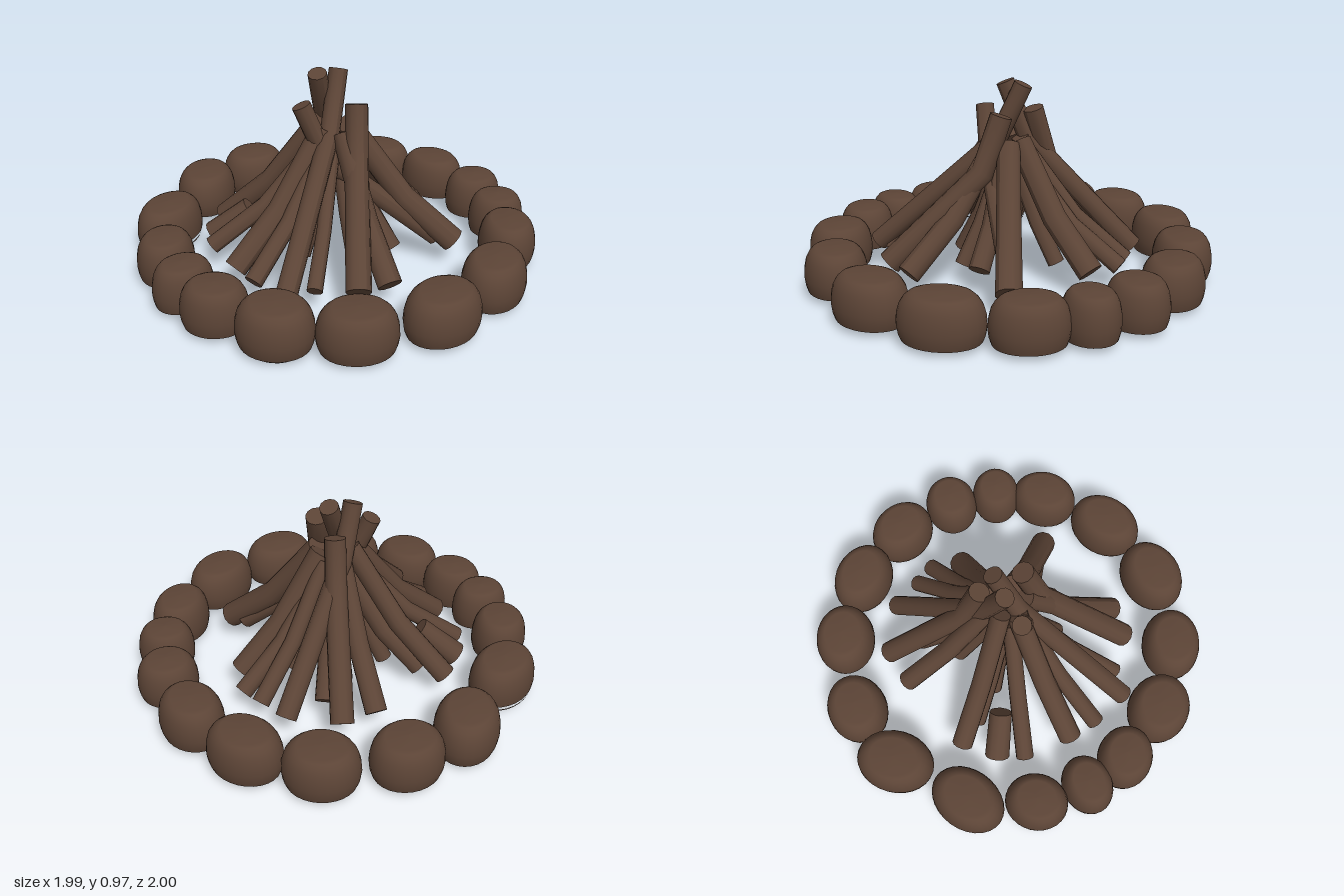
import * as THREE from 'three';

// Stones: angle round the ring in degrees, radius along the ring, radius across it, extra turn
const STONES = [
  [-89, 0.175, 0.15, 0], [-63, 0.178, 0.15, 0], [-39, 0.185, 0.145, 0], [-16, 0.175, 0.145, 0],
  [5, 0.138, 0.148, 0], [22, 0.128, 0.14, 0], [40, 0.175, 0.14, 0], [65, 0.195, 0.148, 0.1],
  [91, 0.192, 0.152, 0.1], [118, 0.182, 0.148, 0], [142, 0.178, 0.155, 0], [163, 0.157, 0.138, 0.5],
  [179, 0.123, 0.147, 0], [197, 0.157, 0.137, -0.4], [220, 0.195, 0.145, -0.37],
  [248, 0.195, 0.152, 0.47],
];
const RAISED_STONE = 14;
const LIPPED_STONE = 10;

// Tall sticks with upright tips: foot x, foot z, top x, top y, top z, radius
const TALL_STICKS = [
  [0.21, -0.58, 0.05, 0.83, -0.12, 0.053],
  [0.43, -0.44, -0.07, 0.955, -0.05, 0.048],
  [0.36, 0.35, -0.18, 0.83, -0.02, 0.048],
  [-0.25, 0.55, 0.05, 0.825, 0.1, 0.057],
  [-0.53, 0.39, 0.05, 0.955, -0.05, 0.048],
];

// Leaning sticks: foot x, foot z, top y, radius
const LEANING_STICKS = [
  [0.03, -0.56, 0.7, 0.05], [0.21, -0.4, 0.6, 0.055], [0.5, -0.29, 0.66, 0.04],
  [0.55, -0.185, 0.6, 0.042], [0.5, -0.03, 0.69, 0.06], [0.41, 0.42, 0.68, 0.06],
  [0.11, 0.31, 0.6, 0.05], [-0.09, 0.57, 0.68, 0.055], [-0.4, 0.42, 0.6, 0.035],
  [-0.59, 0.2, 0.64, 0.042], [-0.6, 0.05, 0.7, 0.054], [-0.59, -0.2, 0.62, 0.042],
  [-0.39, -0.45, 0.72, 0.05], [-0.31, -0.34, 0.58, 0.052],
];

const vec = (x, y, z) => new THREE.Vector3(x, y, z);

// Capped round stick through three points, with a kink at the middle one
function stickGeometry(foot, bend, top, r) {
  const lower = bend.clone().sub(foot).normalize();
  const upper = top.clone().sub(bend).normalize();
  const middle = lower.clone().add(upper).normalize();
  const rings = [[foot, lower], [bend, middle], [top, upper]].map(([centre, direction]) => ({
    centre, turn: new THREE.Quaternion().setFromUnitVectors(vec(0, 1, 0), direction),
  }));
  const geo = new THREE.CylinderGeometry(r * 0.95, r * 1.05, 1, 12, 2);
  const pos = geo.attributes.position;
  const v = vec(0, 0, 0);
  for (let i = 0; i < pos.count; i++) {
    v.fromBufferAttribute(pos, i);
    const { centre, turn } = rings[Math.round((v.y + 0.5) * 2)];
    v.y = 0;
    v.applyQuaternion(turn).add(centre);
    pos.setXYZ(i, v.x, v.y, v.z);
  }
  geo.computeVertexNormals();
  return geo;
}

// Hollow rounded dome, open underneath
function stoneGeometry(raised) {
  const side = [[0.97, 0.06], [1, 0.1], [0.98, 0.145], [0.92, 0.185], [0.83, 0.212],
    [0.72, 0.23], [0.6, 0.238], [0, 0.243]];
  const profile = raised ? side : [[0.91, 0.03], ...side];
  return new THREE.LatheGeometry(profile.map(([x, y]) => new THREE.Vector2(x, y)), 28);
}

export function createModel() {
  const model = new THREE.Group();
  model.name = 'campfire';
  const brown = new THREE.MeshStandardMaterial({ color: 0x5c4436, side: THREE.DoubleSide });
  brown.name = 'brown';

  const addMesh = (parent, geo, name) => {
    const mesh = new THREE.Mesh(geo, brown);
    mesh.name = name;
    parent.add(mesh);
  };

  // Ring of stones, each turned to follow the circle
  const ring = new THREE.Group();
  ring.name = 'stoneRing';
  model.add(ring);
  STONES.forEach(([degrees, along, across, extraTurn], i) => {
    const angle = THREE.MathUtils.degToRad(degrees);
    const stone = new THREE.Group();
    stone.name = 'stone' + (i + 1);
    stone.position.set(0.85 * Math.cos(angle), 0, 0.85 * Math.sin(angle));
    stone.scale.set(along, 1, across);
    stone.rotation.y = Math.PI / 2 - angle + extraTurn;
    ring.add(stone);
    addMesh(stone, stoneGeometry(i === RAISED_STONE), 'dome');

    // Loose thin rim left under the raised stone
    if (i === RAISED_STONE) {
      addMesh(stone, new THREE.CylinderGeometry(0.92, 0.91, 0.008, 28, 1, true)
        .translate(0, 0.034, 0), 'rim');
    }
    // Sunken lip under one stone
    if (i === LIPPED_STONE) {
      addMesh(stone, new THREE.CylinderGeometry(0.91, 0.7, 0.028, 28, 1, true)
        .translate(0, 0.016, 0), 'lip');
    }
  });

  // Leaning pile of firewood
  const pile = new THREE.Group();
  pile.name = 'firewood';
  model.add(pile);

  for (const [fx, fz, tx, ty, tz, r] of TALL_STICKS) {
    const bend = vec(tx + (fx - tx) * 0.17, ty - 0.27, tz + (fz - tz) * 0.17);
    addMesh(pile, stickGeometry(vec(fx, 0.14, fz), bend, vec(tx, ty, tz), r), 'tallStick');
  }

  const addLeaning = (name, foot, top, r, sag) => {
    const bend = foot.clone().lerp(top, 0.5);
    bend.y -= sag;
    addMesh(pile, stickGeometry(foot, bend, top, r), name);
  };
  for (const [x, z, topY, r] of LEANING_STICKS) {
    addLeaning('leaningStick', vec(x, 0.13, z), vec(x * 0.14, topY, z * 0.14), r, 0.06);
  }
  addLeaning('brokenStick', vec(-0.52, 0.12, -0.32), vec(-0.36, 0.26, -0.22), 0.058, 0);

  // Small sticks inside the pile
  for (let i = 0; i < 6; i++) {
    const angle = 0.75 + i * Math.PI / 3;
    const x = Math.cos(angle), z = Math.sin(angle);
    addLeaning('innerStick', vec(x * 0.26, 0.1, z * 0.26), vec(x * 0.05, 0.55, z * 0.05), 0.04, 0.03);
  }

  return model;
}
